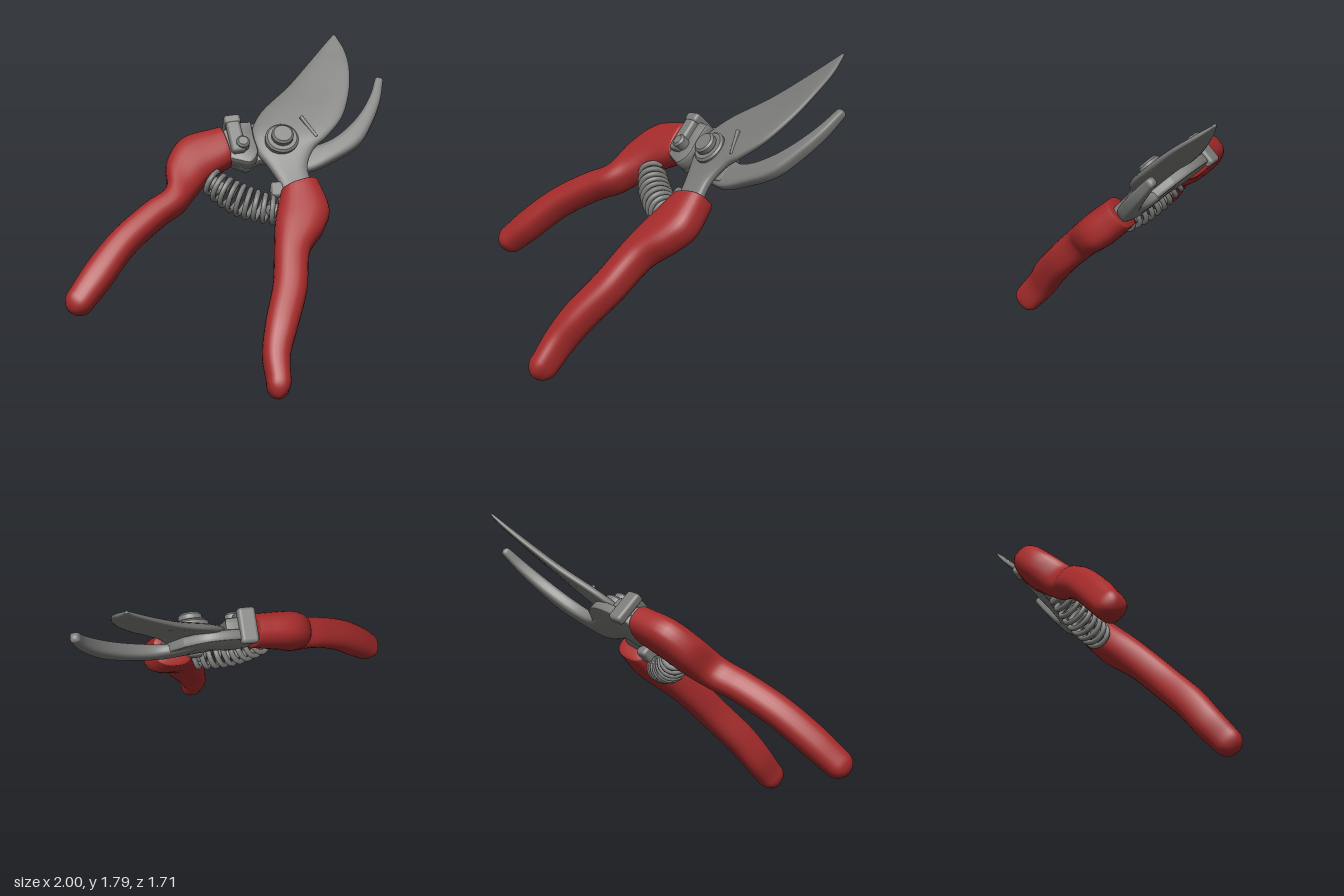
import * as THREE from 'three';
import { toCreasedNormals } from 'three/addons/utils/BufferGeometryUtils.js';
import { RoundedBoxGeometry } from 'three/addons/geometries/RoundedBoxGeometry.js';

const red = new THREE.MeshStandardMaterial({ color: 0xa52b2b });
red.name = 'red grip';
const steel = new THREE.MeshStandardMaterial({ color: 0x7c7c7a });
steel.name = 'grey steel';

function mesh(name, geometry, material, x = 0, y = 0, z = 0) {
  const m = new THREE.Mesh(geometry, material);
  m.name = name;
  m.position.set(x, y, z);
  return m;
}

// Skin through sections [leftX, leftY, rightX, rightY, halfDepth, leftZ, rightZ = leftZ], with rounded ends
function loft(sections, { cap0 = 0.03, cap1 = 0.03, power = 0.85, steps = 40, sides = 28 } = {}) {
  const left = new THREE.CatmullRomCurve3(sections.map(s => new THREE.Vector3(s[0], s[1], s[5])));
  const right = new THREE.CatmullRomCurve3(sections.map(s => new THREE.Vector3(s[2], s[3], s[6] ?? s[5])));
  const depth = new THREE.CatmullRomCurve3(sections.map((s, i) => new THREE.Vector3(s[4], i, 0)));
  const rings = [];
  for (let i = 0; i <= steps; i++) {
    const t = i / steps, l = left.getPoint(t), r = right.getPoint(t);
    rings.push({
      c: l.clone().add(r).multiplyScalar(0.5),
      h: l.clone().sub(r).multiplyScalar(0.5),
      d: depth.getPoint(t).x,
    });
  }
  // Shrinking rings that close an end
  const cap = (ring, inner, length) => {
    const out = new THREE.Vector3(-ring.h.y, ring.h.x, 0).normalize();
    if (out.dot(ring.c.clone().sub(inner.c)) < 0) out.negate();
    const list = [];
    for (let k = 1; k <= 8; k++) {
      const a = (k / 8) * Math.PI / 2, s = Math.max(Math.cos(a), 0.0005);
      list.push({
        c: ring.c.clone().addScaledVector(out, length * Math.sin(a)),
        h: ring.h.clone().multiplyScalar(s),
        d: ring.d * s,
      });
    }
    return list;
  };
  const all = [
    ...cap(rings[0], rings[1], cap0).reverse(), ...rings,
    ...cap(rings[steps], rings[steps - 1], cap1),
  ];
  const pos = [], idx = [];
  const soft = v => Math.sign(v) * Math.pow(Math.abs(v), power);
  for (const g of all) {
    for (let j = 0; j < sides; j++) {
      const a = (j / sides) * Math.PI * 2, u = soft(Math.cos(a)), w = soft(Math.sin(a));
      pos.push(g.c.x + g.h.x * u, g.c.y + g.h.y * u, g.c.z + g.h.z * u + g.d * w);
    }
  }
  // Choose the winding so that faces point outwards
  const mid = rings[steps >> 1], ahead = rings[(steps >> 1) + 1].c.clone().sub(mid.c);
  const flip = mid.h.x * ahead.y - mid.h.y * ahead.x > 0;
  for (let i = 0; i < all.length - 1; i++) {
    for (let j = 0; j < sides; j++) {
      const a = i * sides + j, b = i * sides + (j + 1) % sides, c = a + sides, d = b + sides;
      if (flip) idx.push(a, c, b, b, c, d);
      else idx.push(a, b, c, b, d, c);
    }
  }
  const geo = new THREE.BufferGeometry();
  geo.setAttribute('position', new THREE.Float32BufferAttribute(pos, 3));
  geo.setIndex(idx);
  geo.computeVertexNormals();
  return geo;
}

// Bevelled plate from runs of points; each run is a smooth curve, runs meet in corners
function plate(runs, thickness, bevel) {
  const shape = new THREE.Shape();
  shape.moveTo(...runs[0][0]);
  runs.forEach((run, i) => {
    if (i) shape.lineTo(...run[0]);
    shape.splineThru(run.slice(1).map(p => new THREE.Vector2(...p)));
  });
  const edge = thickness * 0.35;
  const geo = new THREE.ExtrudeGeometry(shape, {
    depth: thickness - 2 * edge, bevelThickness: edge, bevelSize: bevel,
    bevelOffset: -bevel, bevelSegments: 3, curveSegments: 10,
  });
  geo.translate(0, 0, edge - thickness / 2);
  return toCreasedNormals(geo, 0.6);
}

// Cylinder with a bevelled rim, its axis along z
function disc(r, z0, z1, sides = 32) {
  const b = Math.min(0.012, r * 0.3), h = z1 - z0;
  const profile = [[0, 0], [r - b, 0], [r, b], [r, h - b], [r - b, h], [0, h]];
  const geo = new THREE.LatheGeometry(profile.map(p => new THREE.Vector2(...p)), sides);
  geo.rotateX(Math.PI / 2);
  geo.translate(0, 0, z0);
  return toCreasedNormals(geo, 0.5);
}

export function createModel() {
  const model = new THREE.Group();
  model.name = 'pruningShears';

  // All parts lie in one plane, which is then leaned back
  const tool = new THREE.Group();
  tool.name = 'tiltedTool';
  tool.position.set(0, 0.9, 0);
  tool.rotation.x = -0.76;
  model.add(tool);

  // Grips
  tool.add(mesh('rightGrip', loft([
    [-0.975, -0.53, -0.85, -0.63, 0.082, 0.01],
    [-0.88, -0.38, -0.75, -0.51, 0.09, 0.025],
    [-0.72, -0.18, -0.6, -0.3, 0.09, 0.04],
    [-0.53, 0.0, -0.42, -0.12, 0.09, 0.035],
    [-0.4, 0.11, -0.3, -0.02, 0.095, 0.02],
    [-0.385, 0.3, -0.22, 0.09, 0.1, 0],
    [-0.29, 0.46, -0.13, 0.2, 0.1, -0.005],
    [-0.06, 0.54, 0.0, 0.29, 0.09, -0.005],
  ], { cap0: 0.085, cap1: 0.02, power: 0.78 }), red));
  tool.add(mesh('leftGrip', loft([
    [0.085, -1.1, 0.22, -1.12, 0.085, 0],
    [0.075, -0.95, 0.23, -0.97, 0.092, 0.01],
    [0.105, -0.77, 0.28, -0.82, 0.095, 0.03],
    [0.17, -0.53, 0.36, -0.58, 0.095, 0.035],
    [0.2, -0.3, 0.405, -0.33, 0.098, 0.03],
    [0.22, -0.14, 0.5, -0.19, 0.105, 0.02],
    [0.245, -0.03, 0.55, -0.06, 0.108, 0.01],
    [0.275, 0.075, 0.505, 0.145, 0.1, 0.005],
  ], { cap0: 0.095, cap1: 0.02, power: 0.78 }), red));

  // Cutting blade, canted towards its edge, with its shank running into the left grip
  tool.add(mesh('cuttingBlade', loft([
    [0.285, 0.0, 0.46, 0.0, 0.035, 0.015, 0.015],
    [0.28, 0.12, 0.47, 0.1, 0.035, 0.015, 0.015],
    [0.22, 0.26, 0.45, 0.24, 0.035, 0.01, 0.025],
    [0.16, 0.37, 0.5, 0.36, 0.035, 0.005, 0.04],
    [0.14, 0.5, 0.58, 0.43, 0.034, 0, 0.055],
    [0.2, 0.645, 0.69, 0.565, 0.03, -0.012, 0.062],
    [0.4, 0.855, 0.76, 0.76, 0.026, -0.022, 0.055],
    [0.56, 1.045, 0.785, 0.95, 0.02, -0.018, 0.042],
    [0.67, 1.175, 0.775, 1.1, 0.014, -0.008, 0.02],
    [0.72, 1.23, 0.74, 1.215, 0.007, 0, 0.003],
  ], { cap1: 0.008, power: 0.65, steps: 60 }), steel));
  const rib = mesh('bladeGroove', new RoundedBoxGeometry(0.02, 0.17, 0.03, 2, 0.008), steel, 0.48, 0.5, 0.067);
  rib.rotation.z = 0.5;
  tool.add(rib);
  tool.add(mesh('shankStop', new RoundedBoxGeometry(0.09, 0.1, 0.09, 3, 0.02), steel, 0.265, 0.1, -0.01));

  // Hooked counter blade and its tang running into the right grip
  tool.add(mesh('hookBlade', loft([
    [0.3, 0.5, 0.36, 0.26, 0.03, -0.05],
    [0.48, 0.43, 0.48, 0.26, 0.035, -0.05],
    [0.6, 0.455, 0.62, 0.32, 0.04, -0.045],
    [0.72, 0.535, 0.8, 0.435, 0.042, -0.04],
    [0.83, 0.655, 0.9, 0.59, 0.04, -0.035],
    [0.91, 0.79, 0.965, 0.74, 0.034, -0.03],
    [0.95, 0.895, 1.0, 0.88, 0.026, -0.025],
  ], { cap1: 0.025, power: 0.6 }), steel));
  tool.add(mesh('hookTang', plate([
    [[-0.08, 0.48], [0.02, 0.55], [0.14, 0.59], [0.26, 0.59], [0.38, 0.53]],
    [[0.46, 0.42], [0.46, 0.28]],
    [[0.36, 0.27], [0.26, 0.3], [0.18, 0.32], [0.1, 0.27], [0.02, 0.3], [-0.08, 0.34]],
  ], 0.06, 0.012), steel, 0, 0, -0.045));
  tool.add(mesh('tangBoss', plate([
    [[-0.04, 0.31], [0.05, 0.28], [0.12, 0.27], [0.165, 0.34], [0.15, 0.45], [0.14, 0.56]],
    [[0.05, 0.56], [-0.04, 0.5]],
  ], 0.09, 0.015), steel, 0, 0, 0.01));

  // Pivot bolt
  const pivot = new THREE.Group();
  pivot.name = 'pivotBolt';
  pivot.position.set(0.31, 0.42, 0);
  pivot.add(mesh('washer', disc(0.1, 0.03, 0.085), steel));
  pivot.add(mesh('boltHead', disc(0.066, 0.08, 0.13), steel));
  tool.add(pivot);

  // Safety catch
  const safety = new THREE.Group();
  safety.name = 'safetyCatch';
  safety.position.set(0.03, 0.44, 0);
  safety.rotation.z = 0.12;
  safety.add(mesh('catchLever', new RoundedBoxGeometry(0.085, 0.22, 0.06, 3, 0.02), steel, 0.005, 0, 0.065));
  safety.add(mesh('catchThumbPiece', new RoundedBoxGeometry(0.1, 0.06, 0.2, 3, 0.02), steel, 0.005, 0.115, 0));
  safety.add(mesh('catchPin', disc(0.04, 0.04, 0.115, 20), steel, 0.035, -0.06, 0));
  tool.add(safety);

  // Coil spring wound around a sagging axis
  const axis = new THREE.QuadraticBezierCurve3(
    new THREE.Vector3(-0.13, 0.19, -0.01), new THREE.Vector3(0.04, 0.02, -0.04), new THREE.Vector3(0.28, -0.03, -0.02));
  const turns = 9.5, coil = [];
  for (let i = 0; i <= 190; i++) {
    const t = i / 190, a = t * turns * Math.PI * 2;
    const tangent = axis.getTangent(t);
    const side = new THREE.Vector3(-tangent.y, tangent.x, 0).normalize();
    const r = 0.066 + 0.018 * Math.sin(t * Math.PI);
    coil.push(axis.getPoint(t).addScaledVector(side, r * Math.cos(a))
      .add(new THREE.Vector3(0, 0, r * Math.sin(a))));
  }
  tool.add(mesh('coilSpring', new THREE.TubeGeometry(new THREE.CatmullRomCurve3(coil), 480, 0.016, 8), steel));

  // Studs that hold the spring ends
  for (const [name, t0, t1] of [['rightSpringStud', 0, 0.16], ['leftSpringStud', 0.88, 1]]) {
    const stud = new THREE.CapsuleGeometry(0.042, axis.getPoint(t0).distanceTo(axis.getPoint(t1)), 6, 14);
    const part = mesh(name, stud, steel, ...axis.getPoint((t0 + t1) / 2).toArray());
    part.quaternion.setFromUnitVectors(new THREE.Vector3(0, 1, 0), axis.getTangent((t0 + t1) / 2));
    tool.add(part);
  }

  return model;
}
